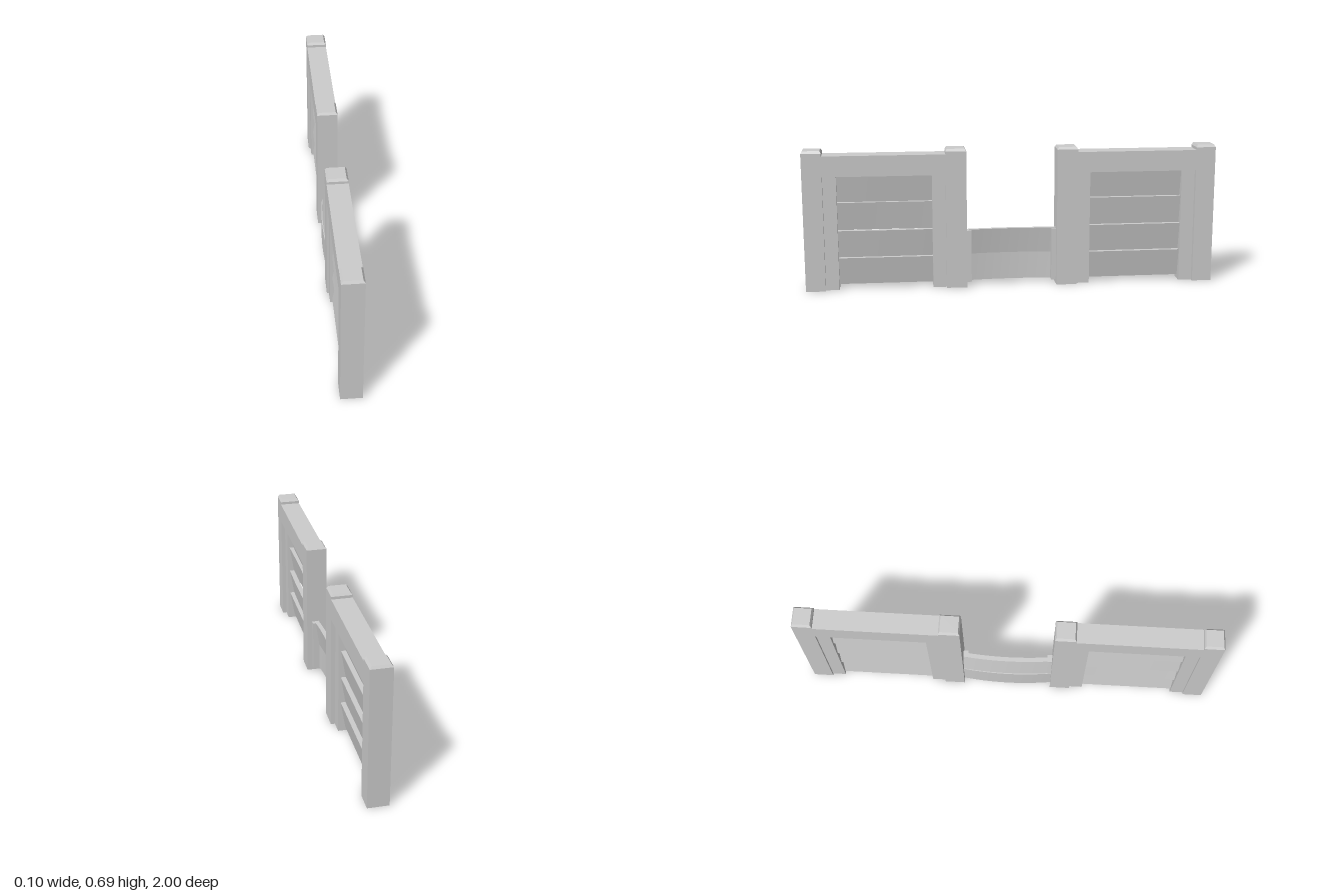
import * as THREE from 'three';

const wood = new THREE.MeshStandardMaterial({ color: 0xcccccc });
wood.name = 'paleWood';

// Box given by its limits on each axis
function block(name, x0, x1, y0, y1, z0, z1) {
  const g = new THREE.BoxGeometry(x1 - x0, y1 - y0, z1 - z0);
  g.translate((x0 + x1) / 2, (y0 + y1) / 2, (z0 + z1) / 2);
  const mesh = new THREE.Mesh(g, wood);
  mesh.name = name;
  return mesh;
}

// Horizontal plank running along z, leaning from xBottom to xTop and bowed mid-span
function plank(name, xBottom, xTop, thick, y0, y1, z0, z1, bow) {
  const g = new THREE.BoxGeometry(thick, y1 - y0, z1 - z0, 1, 1, 10);
  const p = g.attributes.position;
  const half = (z1 - z0) / 2;
  for (let i = 0; i < p.count; i++) {
    const t = p.getZ(i) / half;
    const lean = p.getY(i) > 0 ? xTop : xBottom;
    p.setX(i, p.getX(i) + lean + bow * (1 - t * t));
  }
  g.computeVertexNormals();
  g.translate(0, (y0 + y1) / 2, (z0 + z1) / 2);
  const mesh = new THREE.Mesh(g, wood);
  mesh.name = name;
  return mesh;
}

// Square post with a bevelled cap
function post(z0, z1) {
  const group = new THREE.Group();
  group.name = 'post';
  group.add(block('postShaft', -0.05, 0.05, 0, 0.673, z0, z1));
  const cap = block('postCap', -0.05, 0.05, 0.673, 0.685, z0, z1);
  const p = cap.geometry.attributes.position;
  const mid = (z0 + z1) / 2;
  for (let i = 0; i < p.count; i++) {
    if (p.getY(i) < 0.68) continue;
    p.setX(i, p.getX(i) - Math.sign(p.getX(i)) * 0.009);
    p.setZ(i, p.getZ(i) - Math.sign(p.getZ(i) - mid) * 0.007);
  }
  cap.geometry.computeVertexNormals();
  group.add(cap);
  return group;
}

// Tall panel between two posts; side is +1 or -1 along z
function panel(side) {
  const group = new THREE.Group();
  group.name = side > 0 ? 'frontPanel' : 'backPanel';
  const span = (a, b) => (side > 0 ? [a, b] : [-b, -a]);

  group.add(post(...span(0.905, 1)), post(...span(0.22, 0.32)));
  group.add(block('topBeam', -0.05, 0.05, 0.56, 0.66, ...span(0.315, 0.91)));

  // Inner strips holding the slats
  for (const [a, b] of [[0.84, 0.905], [0.32, 0.385]]) {
    group.add(block('innerStrip', -0.04, 0.03, 0, 0.56, ...span(a, b)));
  }

  // Leaning slats
  const edges = [0.02, 0.155, 0.29, 0.428, 0.562];
  for (let i = 0; i < 4; i++) {
    const bow = side > 0 ? [0, 0.003, -0.003, 0.002][i] : 0;
    group.add(plank('slat', -0.017, 0.006, 0.025, edges[i], edges[i + 1], ...span(0.38, 0.845), bow));
  }
  return group;
}

// Low bowed link between the panels
function lowFence() {
  const group = new THREE.Group();
  group.name = 'lowFence';
  group.add(plank('lowerBoard', -0.018, -0.018, 0.024, 0.02, 0.155, -0.22, 0.22, -0.015));
  group.add(plank('upperBoard', -0.016, 0.002, 0.022, 0.155, 0.28, -0.22, 0.22, -0.013));
  for (const s of [-1, 1]) {
    const [a, b] = s > 0 ? [0.197, 0.222] : [-0.222, -0.197];
    group.add(block('endBatten', -0.012, 0.024, 0.02, 0.278, a, b));
  }
  return group;
}

export function createModel() {
  const model = new THREE.Group();
  model.name = 'fence';
  model.add(panel(1), panel(-1), lowFence());
  return model;
}
